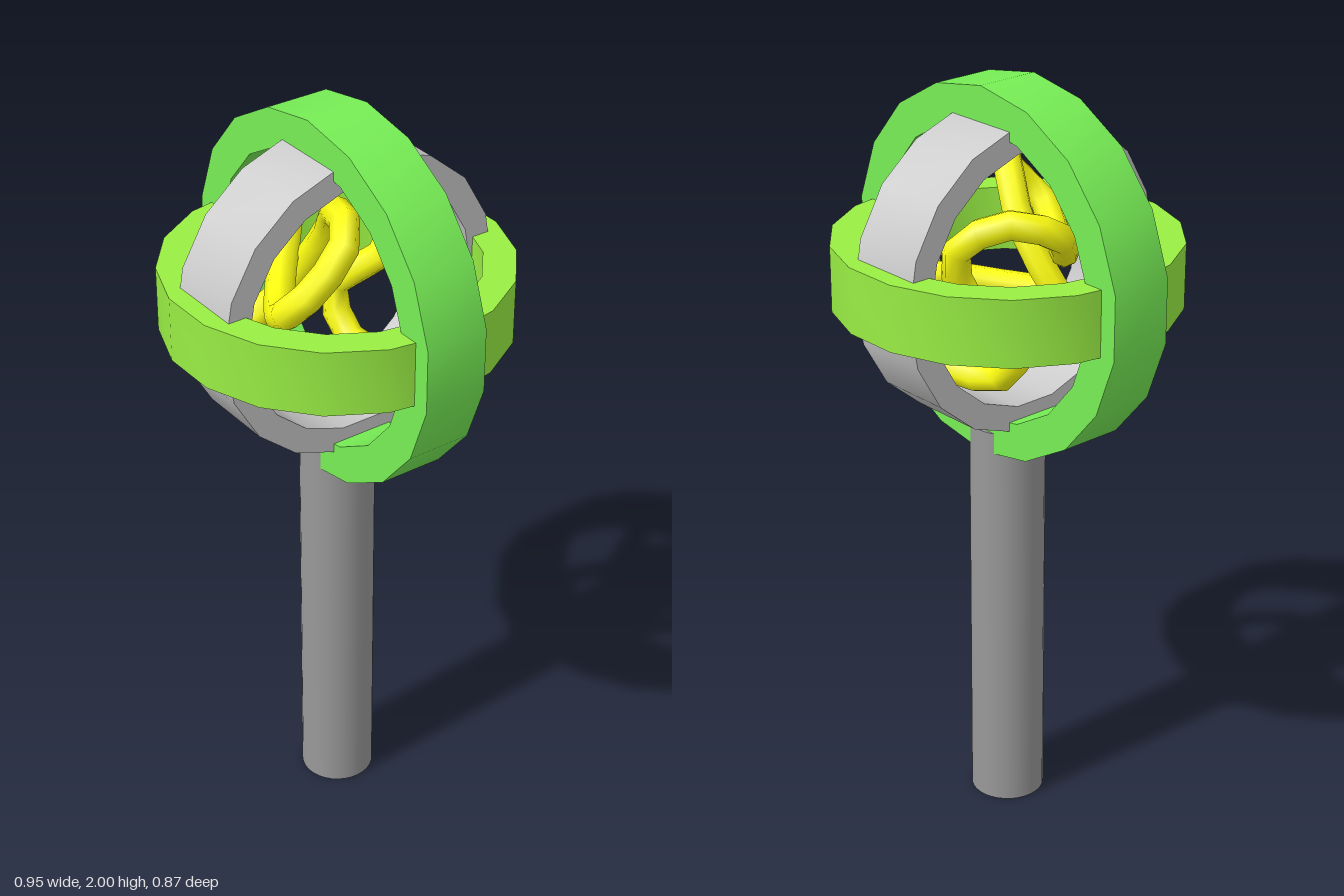
import * as THREE from 'three';
import { toCreasedNormals } from 'three/addons/utils/BufferGeometryUtils.js';

const CENTRE_Y = 1.518;

function addMesh(parent, name, geometry, color) {
  const mesh = new THREE.Mesh(geometry, new THREE.MeshStandardMaterial({ color }));
  mesh.name = name;
  parent.add(mesh);
  return mesh;
}

// Flat-edged 18-sided band turned around the y axis
function bandGeometry(inner, outer, halfWidth, start) {
  const profile = [
    [inner, -halfWidth], [outer, -halfWidth], [outer, halfWidth],
    [inner, halfWidth], [inner, -halfWidth],
  ].map(([r, y]) => new THREE.Vector2(r, y));
  return toCreasedNormals(new THREE.LatheGeometry(profile, 18, start), 0.6);
}

export function createModel() {
  const model = new THREE.Group();
  model.name = 'ringSphereOnPost';

  // Post
  addMesh(model, 'post', new THREE.CylinderGeometry(0.098, 0.098, 1.1, 32), 0x999999)
    .position.y = 0.55;

  const head = new THREE.Group();
  head.name = 'head';
  head.position.y = CENTRE_Y;
  model.add(head);

  // Three nested rings, one around each axis
  addMesh(head, 'outerRing', bandGeometry(0.385, 0.482, 0.086, 0), 0x77ee55)
    .rotation.x = Math.PI / 2;
  addMesh(head, 'horizontalRing', bandGeometry(0.36, 0.444, 0.086, Math.PI / 2), 0x99ee44);
  addMesh(head, 'innerRing', bandGeometry(0.335, 0.403, 0.105, 0), 0xcccccc)
    .rotation.z = Math.PI / 2;

  // Knotted tube in the middle: four lobes joined by crossing bars
  const knotPoints = [
    // upper back lobe
    [-0.1, 0.13, -0.25], [-0.19, 0.2, -0.17], [-0.25, 0.17, -0.07], [-0.12, 0.05, 0.08],
    // upper front lobe
    [0.04, 0.02, 0.2], [0.14, 0.08, 0.25], [0.19, 0.16, 0.19], [0.18, 0.26, 0.1],
    [0.08, 0.27, 0.06], [-0.05, 0.13, 0.0],
    // lower front lobe
    [-0.18, -0.08, 0.05], [-0.21, -0.16, 0.14], [-0.13, -0.16, 0.2], [-0.02, -0.13, 0.2],
    [0.12, -0.1, 0.08],
    // lower back lobe
    [0.24, -0.08, -0.07], [0.24, -0.12, -0.15], [0.17, -0.18, -0.18], [0.05, -0.24, -0.16],
    [-0.11, -0.23, -0.12], [-0.18, -0.11, -0.12], [-0.09, 0.0, -0.21],
  ].map((p) => new THREE.Vector3(...p));
  const path = new THREE.CatmullRomCurve3(knotPoints, true);
  addMesh(head, 'knot', new THREE.TubeGeometry(path, 44, 0.038, 8, true), 0xffff11);

  return model;
}
